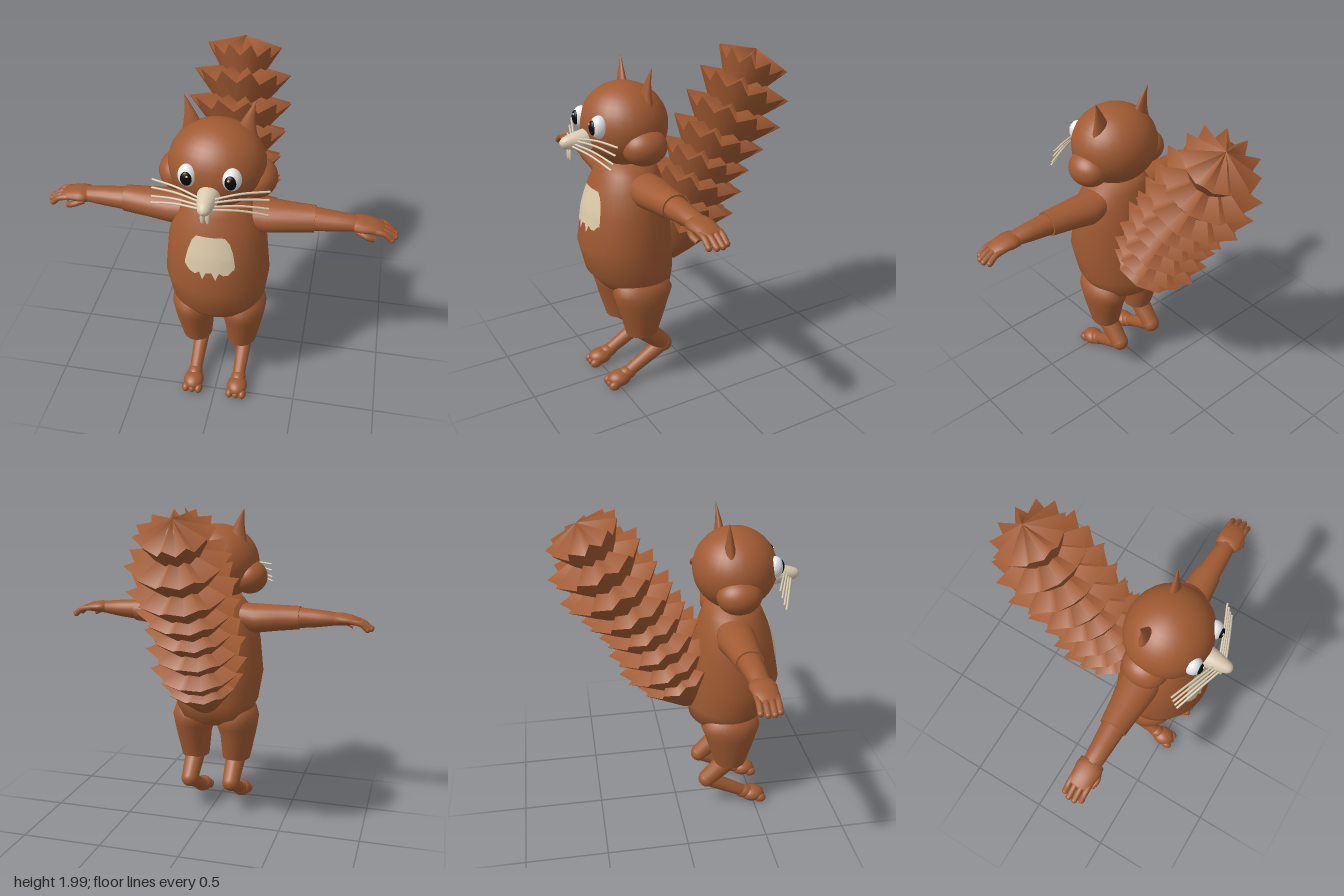
import * as THREE from 'three';

const V = (x, y, z) => new THREE.Vector3(x, y, z);
const mat = (name, color, extra = {}) =>
  Object.assign(new THREE.MeshStandardMaterial({ color, ...extra }), { name });

// Skin a closed surface over rings of equal point count
function skin(rings) {
  const n = rings[0].length, pos = [], idx = [];
  rings.forEach(r => r.forEach(p => pos.push(p.x, p.y, p.z)));
  for (let i = 0; i < rings.length - 1; i++) {
    for (let j = 0; j < n; j++) {
      const a = i * n + j, b = i * n + (j + 1) % n;
      idx.push(a, b, a + n, b, b + n, a + n);
    }
  }
  const g = new THREE.BufferGeometry();
  g.setAttribute('position', new THREE.Float32BufferAttribute(pos, 3));
  g.setIndex(idx);
  g.computeVertexNormals();
  return g;
}
const ring = (n, f) => Array.from({ length: n }, (_, j) => f((j / n) * Math.PI * 2, j));

// Elliptic rings stacked downwards: [y, cx, cz, rx, rz]
const loftY = (rows, n = 32) => skin(rows.map(([y, cx, cz, rx, rz]) =>
  ring(n, t => V(cx + rx * Math.cos(t), y, cz + rz * Math.sin(t)))));
// Elliptic rings running outwards along x: [x, cy, cz, ry, rz]
const loftX = (rows, n = 20) => skin(rows.map(([x, cy, cz, ry, rz]) =>
  ring(n, t => V(x, cy + ry * Math.cos(t), cz + rz * Math.sin(t)))));

const ball = (x, y, z, rx, ry = rx, rz = rx) =>
  new THREE.SphereGeometry(1, 28, 20).scale(rx, ry, rz).translate(x, y, z);

// Tapered rod between two points
function limb(p, q, r1, r2) {
  const d = q.clone().sub(p), len = d.length();
  const turn = new THREE.Quaternion().setFromUnitVectors(V(0, 1, 0), d.normalize());
  const c = p.clone().add(q).multiplyScalar(0.5);
  return new THREE.CylinderGeometry(r2, r1, len, 16).applyQuaternion(turn).translate(c.x, c.y, c.z);
}
const tube = (pts, r) => new THREE.TubeGeometry(new THREE.CatmullRomCurve3(pts), 10, r, 8);

function mirrored(geo) {
  const g = geo.clone().scale(-1, 1, 1), ix = g.index;
  for (let i = 0; i < ix.count; i += 3) {
    const a = ix.getX(i);
    ix.setX(i, ix.getX(i + 1));
    ix.setX(i + 1, a);
  }
  return g;
}

// Torso outline: [y, half width, front z, back z]
const TORSO = [
  [1.45, 0, 0.345, 0.345], [1.43, 0.15, 0.49, 0.2], [1.37, 0.2, 0.52, 0.165], [1.28, 0.25, 0.56, 0.14],
  [1.15, 0.28, 0.60, 0.11], [0.93, 0.30, 0.64, 0.09], [0.75, 0.275, 0.60, 0.08],
  [0.65, 0.235, 0.52, 0.09], [0.59, 0.12, 0.43, 0.19], [0.565, 0, 0.32, 0.32],
];
function torsoFront(x, y) {
  const i = TORSO.findIndex(r => r[0] <= y), a = TORSO[i - 1], b = TORSO[i];
  const k = (a[0] - y) / (a[0] - b[0]);
  const [hx, f, r] = [1, 2, 3].map(m => a[m] + (b[m] - a[m]) * k);
  return (f + r) / 2 + (f - r) / 2 * Math.sqrt(1 - (x / hx) ** 2);
}

// Chest patch following the torso: columns of [x, top, bottom]
function chestPatch() {
  const cols = [
    [-0.141, 1.12, 1.1], [-0.125, 1.19, 1.08], [-0.105, 1.245, 1.065], [-0.08, 1.278, 1.057], [-0.055, 1.28, 1.075],
    [-0.037, 1.28, 1.03], [-0.018, 1.28, 1.072], [0.015, 1.28, 1.075], [0.037, 1.28, 1.03],
    [0.056, 1.28, 1.075], [0.078, 1.278, 1.06], [0.105, 1.245, 1.06], [0.125, 1.19, 1.085], [0.138, 1.12, 1.09],
  ];
  const rows = 10, pos = [], idx = [];
  cols.forEach(([x, top, bottom], c) => {
    for (let r = 0; r <= rows; r++) {
      const y = top + (bottom - top) * r / rows;
      pos.push(x, y, torsoFront(x, y) + 0.007);
      if (c < cols.length - 1 && r < rows) {
        const a = c * (rows + 1) + r, b = a + rows + 1;
        idx.push(a, a + 1, b, b, a + 1, b + 1);
      }
    }
  });
  const g = new THREE.BufferGeometry();
  g.setAttribute('position', new THREE.Float32BufferAttribute(pos, 3));
  g.setIndex(idx);
  g.computeVertexNormals();
  return g;
}

// One spiky tail tier: a flared cup with a zigzag rim and a ridged, pointed lid
function tailTier(r) {
  const n = 22;
  const at = (t, y, rad) => V(rad * Math.sin(t), y, -rad * Math.cos(t));
  const even = (y, rad) => ring(n, t => at(t, y, rad));
  const rim = ring(n, (t, j) => (j % 2 ? at(t, -0.065, r * 0.8) : at(t, 0, r)));
  return skin([even(0.06, 0), rim, rim, even(-0.16, r * 0.55), even(-0.25, r * 0.3), even(-0.27, 0)]);
}

export function createModel() {
  const model = new THREE.Group();
  const fur = mat('brown fur', 0xa05a32);
  const cream = mat('cream', 0xd9cab0);
  const patch = mat('chest cream', 0xd9c8a8, { side: THREE.DoubleSide });
  const white = mat('eye white', 0xf2f2f2);
  const black = mat('pupil black', 0x0a0a0a);
  const add = (name, geo, m = fur) => {
    const mesh = new THREE.Mesh(geo, m);
    mesh.name = name;
    model.add(mesh);
    return mesh;
  };
  const pair = (name, geo, m = fur) => {
    add('left ' + name, geo, m);
    add('right ' + name, mirrored(geo), m);
  };

  // Torso and chest
  add('torso', loftY(TORSO.map(([y, hx, f, b]) => [y, 0, (f + b) / 2, hx, (f - b) / 2]), 40));
  add('chest patch', chestPatch(), patch);

  // Head
  add('head', ball(0, 1.63, 0.348, 0.265, 0.238, 0.246));
  pair('cheek', ball(0.215, 1.545, 0.33, 0.11, 0.105, 0.13));
  const ear = new THREE.ConeGeometry(0.075, 0.24, 20, 6).scale(1, 1, 0.55);
  const ep = ear.attributes.position;
  for (let i = 0; i < ep.count; i++) {
    const k = (ep.getY(i) + 0.12) / 0.24;
    ep.setXYZ(i, ep.getX(i) + 0.14 + 0.05 * k * k, ep.getY(i) + 1.85, ep.getZ(i) + 0.285 - 0.02 * k * k);
  }
  ear.computeVertexNormals();
  pair('ear', ear);

  // Eyes
  pair('eye', ball(0.115, 1.665, 0.553, 0.052, 0.064, 0.05), white);
  pair('pupil', ball(0.115, 1.666, 0.589, 0.031, 0.042, 0.02), black);
  pair('eye glint', ball(0.107, 1.688, 0.606, 0.006, 0.007, 0.004), white);

  // Snout, teeth and whiskers
  const profile = [[0, 0], [0.062, 0], [0.06, 0.05], [0.052, 0.1], [0.039, 0.15], [0.031, 0.175], [0.018, 0.19], [0, 0.195]]
    .map(([x, y]) => new THREE.Vector2(x, y));
  add('snout', new THREE.LatheGeometry(profile, 28).rotateX(Math.PI / 2 + 0.03).translate(0, 1.572, 0.543), cream);
  pair('tooth', ball(0.014, 1.5, 0.686, 0.012, 0.037, 0.009), cream);
  [[1.59, 1.602, 0.535], [1.58, 1.56, 0.55], [1.565, 1.515, 0.565], [1.555, 1.485, 0.58]].forEach(([y0, y1, z1], i) =>
    pair('whisker ' + (i + 1), tube([V(0.03, y0, 0.643 + i * 0.013), V(0.17, (y0 + y1) / 2 + 0.012, 0.59 + i * 0.014),
      V(0.31, y1, z1)], 0.0062), cream));

  // Arms
  pair('upper arm', loftX([[0.12, 1.3, 0.325, 0.082, 0.1], [0.27, 1.287, 0.315, 0.092, 0.115], [0.4, 1.295, 0.32, 0.082, 0.095],
    [0.54, 1.303, 0.322, 0.073, 0.08], [0.54, 1.303, 0.322, 0.073, 0.08], [0.54, 1.303, 0.322, 0, 0]]));
  pair('forearm', loftX([[0.52, 1.302, 0.322, 0.066, 0.072], [0.66, 1.304, 0.325, 0.054, 0.062],
    [0.79, 1.307, 0.327, 0.036, 0.052], [0.81, 1.306, 0.327, 0, 0]]));
  pair('palm', loftX([[0.74, 1.305, 0.327, 0.02, 0.03], [0.76, 1.307, 0.327, 0.038, 0.07], [0.8, 1.308, 0.327, 0.038, 0.076],
    [0.86, 1.305, 0.327, 0.03, 0.068], [0.91, 1.295, 0.327, 0.02, 0.062], [0.92, 1.294, 0.327, 0, 0]]));
  [0.275, 0.309, 0.344, 0.378].forEach((z, i) => {
    const end = i === 0 || i === 3 ? 0.96 : 0.978;
    pair('finger ' + (i + 1), tube([V(0.85, 1.303, z), V(0.92, 1.29, z), V(end, 1.257, z)], 0.017));
    pair('fingertip ' + (i + 1), ball(end, 1.257, z, 0.017));
  });
  pair('thumb', tube([V(0.77, 1.29, 0.375), V(0.83, 1.272, 0.395), V(0.87, 1.255, 0.385)], 0.018));

  // Legs
  pair('thigh', loftY([[0.74, 0.15, 0.33, 0.06, 0.1], [0.69, 0.15, 0.33, 0.118, 0.165], [0.63, 0.147, 0.325, 0.138, 0.185],
    [0.57, 0.145, 0.328, 0.132, 0.165], [0.5, 0.15, 0.33, 0.114, 0.145], [0.34, 0.14, 0.333, 0.09, 0.098],
    [0.34, 0.14, 0.333, 0.09, 0.098], [0.34, 0.14, 0.333, 0, 0]]));
  const knee = V(0.14, 0.21, 0.185), ankle = V(0.14, 0.075, 0.43);
  pair('upper shin', limb(V(0.14, 0.37, 0.345), knee, 0.068, 0.055));
  pair('hock', ball(0.14, 0.21, 0.187, 0.056));
  pair('lower shin', limb(knee, ankle, 0.05, 0.038));
  pair('ankle', ball(0.14, 0.07, 0.44, 0.045, 0.042, 0.06));
  pair('foot', ball(0.14, 0.05, 0.495, 0.063, 0.05, 0.075));
  [-0.04, 0, 0.04].forEach((dx, i) =>
    pair('toe ' + (i + 1), ball(0.14 + dx, 0.03, 0.543, 0.025, 0.03, 0.037)));

  // Tail tiers from base to top: [y, z, radius]
  const tail = new THREE.Group();
  tail.name = 'tail';
  model.add(tail);
  [[0.98, -0.01, 0.255], [1.1, -0.08, 0.295], [1.235, -0.135, 0.3], [1.355, -0.2, 0.285], [1.48, -0.285, 0.3],
    [1.61, -0.385, 0.315], [1.755, -0.46, 0.295], [1.9, -0.52, 0.225]].forEach(([y, z, r], i) => {
    const tier = add('tail tier ' + (i + 1), tailTier(r));
    tier.position.set(0, y, z);
    tier.rotation.x = -0.45;
    tail.add(tier);
  });
  tail.add(add('tail crown', ball(0, 1.84, -0.5, 0.1)));
  tail.add(add('tail root', limb(V(0, 0.765, 0.055), V(0, 0.92, 0.0), 0.04, 0.15)));
  tail.add(add('tail root end', ball(0, 0.77, 0.055, 0.042)));
  return model;
}
